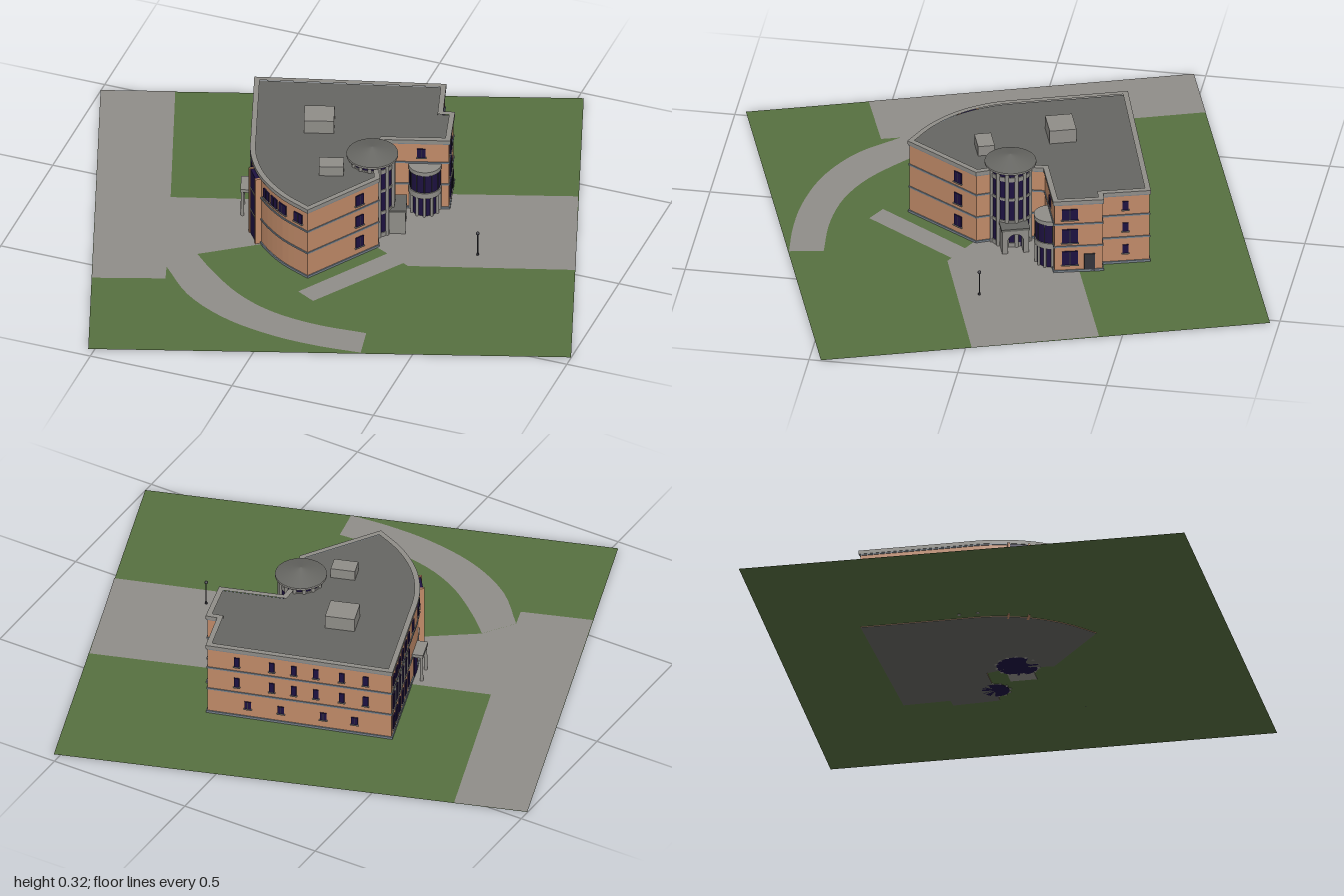
import * as THREE from 'three';

const mat = (name, color, side = THREE.FrontSide) => {
  const m = new THREE.MeshStandardMaterial({ color, side });
  m.name = name;
  return m;
};

export function createModel() {
  const model = new THREE.Group();
  model.name = 'officeBuilding';
  const brick = mat('brick', 0xc08a68);
  const roof = mat('roofGrey', 0x666662);
  const stone = mat('stone', 0x8f8d88);
  const trim = mat('blueGreyTrim', 0x75808a);
  const glass = mat('darkGlass', 0x1d1140);
  const grass = mat('grass', 0x577040, THREE.DoubleSide);
  const paving = mat('paving', 0x908d89);
  const metal = mat('darkMetal', 0x34343a);

  const add = (name, geo, m, parent = model) => {
    const mesh = new THREE.Mesh(geo, m);
    mesh.name = name;
    parent.add(mesh);
    return mesh;
  };
  const shapeOf = pts => new THREE.Shape(pts.map(([x, z]) => new THREE.Vector2(x, -z)));
  const flat = (name, pts, y, m) =>
    add(name, new THREE.ShapeGeometry(shapeOf(pts)).rotateX(-Math.PI / 2).translate(0, y, 0), m);
  const slab = (name, shape, y0, y1, m) => add(name,
    new THREE.ExtrudeGeometry(shape, { depth: y1 - y0, bevelEnabled: false, curveSegments: 20 })
      .rotateX(-Math.PI / 2).translate(0, y0, 0), m);
  const spline = pts => new THREE.CatmullRomCurve3(pts.map(([x, z]) => new THREE.Vector3(x, 0, z)));
  const sample = (pts, n) => spline(pts).getSpacedPoints(n).map(p => [p.x, p.z]);

  // Site: lawn, road, forecourt and paths
  flat('lawn', [[-1, -0.46], [0.52, -0.97], [1, 0.46], [-0.52, 0.966]], 0.002, grass);
  flat('westRoad', [[-1, -0.46], [-0.765, -0.539], [-0.567, 0.045], [-0.3, -0.04], [-0.15, 0.17],
    [-0.37, 0.325], [-0.44, 0.43], [-0.42, 0.495], [-0.65, 0.575]], 0.004, paving);
  flat('curvedPath', [
    ...sample([[-0.37, 0.325], [-0.29, 0.4], [-0.155, 0.5], [-0.02, 0.555], [0.14, 0.575], [0.315, 0.565]], 20),
    ...sample([[0.337, 0.678], [0.19, 0.69], [0.03, 0.685], [-0.155, 0.645], [-0.315, 0.56], [-0.44, 0.43]], 20),
  ], 0.0045, paving);
  flat('eastForecourt', [[0.7, -0.425], [0.84, -0.02], [0.31, 0.15], [0.15, 0.07], [0.1, -0.1], [0.28, -0.285]], 0.004, paving);
  flat('straightPath', [[0.225, 0.1], [0.29, 0.14], [0.085, 0.45], [0.02, 0.415]], 0.0045, paving);

  // Building outline, clockwise from above; one wall is curved
  const A = [-0.405, -0.333], B = [0.198, -0.51], C = [0.243, -0.357], D = [0.281, -0.367],
    E = [0.322, -0.212], F = [0.115, -0.145], F2 = [0.12, -0.05], G = [0.178, 0.075], H = [0.02, 0.326],
    I = [-0.312, -0.05];
  const bow = [H, [-0.09, 0.275], [-0.19, 0.195], [-0.262, 0.09], I];
  const outline = [A, B, C, D, E, F, F2, G, ...sample(bow, 18)];

  // Mitred offset of the outline, positive outwards
  const offset = d => outline.map((p, i) => {
    const n = outline.length, a = outline[(i + n - 1) % n], b = outline[(i + 1) % n];
    const nrm = (u, v) => new THREE.Vector2(v[1] - u[1], u[0] - v[0]).normalize();
    const n1 = nrm(a, p), n2 = nrm(p, b), k = d / (1 + n1.dot(n2));
    return [p[0] + (n1.x + n2.x) * k, p[1] + (n1.y + n2.y) * k];
  });
  slab('mainBody', shapeOf(outline), 0, 0.267, [roof, brick]);
  for (const [y0, y1, d] of [[0.003, 0.011, 0.004], [0.098, 0.104, 0.003], [0.184, 0.19, 0.003], [0.262, 0.266, 0.003]])
    slab('wallBand', shapeOf(offset(d)), y0, y1, trim);
  const parapet = shapeOf(offset(0.005));
  parapet.holes.push(new THREE.Path(offset(-0.013).map(([x, z]) => new THREE.Vector2(x, -z))));
  slab('parapet', parapet, 0.266, 0.279, stone);

  // Groups standing on a wall: local +z points outwards
  const line = (p, q) => new THREE.LineCurve3(new THREE.Vector3(p[0], 0, p[1]), new THREE.Vector3(q[0], 0, q[1]));
  const onWall = (curve, t, y, name) => {
    const g = new THREE.Group(), p = curve.getPointAt(t), d = curve.getTangentAt(t);
    g.position.set(p.x, y, p.z);
    g.rotation.y = Math.atan2(d.z, -d.x);
    g.name = name;
    model.add(g);
    return g;
  };
  const box = (g, name, w, h, d, x, y, z, m) =>
    add(name, new THREE.BoxGeometry(w, h, d).translate(x, y, z), m, g);
  const windowAt = (curve, t, y, w, h) => {
    const g = onWall(curve, t, y, 'window');
    box(g, 'pane', w, h, 0.008, 0, 0, 0, glass);
    box(g, 'sill', w + 0.006, 0.003, 0.014, 0, -h / 2 - 0.0015, 0, stone);
    if (w > 0.02) box(g, 'mullion', 0.002, h, 0.01, 0, 0, 0, metal);
    return g;
  };
  const back = line(A, B), eastRear = line(B, C), east = line(D, E), south = line(E, F),
    southEast = line(G, H), west = line(I, A), curved = spline(bow);

  for (const t of [0.14, 0.27, 0.41, 0.53, 0.65, 0.84])
    for (const y of [0.225, 0.142]) windowAt(back, t, y, 0.018, 0.036);
  for (const t of [0.2, 0.37, 0.6, 0.78]) windowAt(back, t, 0.055, 0.022, 0.028);
  for (const y of [0.225, 0.142, 0.057]) {
    windowAt(eastRear, 0.5, y, 0.02, 0.032);
    windowAt(east, 0.68, y, 0.052, y < 0.2 ? 0.052 : 0.04);
  }
  box(onWall(east, 0.27, 0.037, 'sideDoor'), 'doorLeaf', 0.036, 0.066, 0.008, 0, 0, 0, metal);
  windowAt(south, 0.42, 0.225, 0.028, 0.034);
  for (const y of [0.225, 0.142, 0.057]) windowAt(southEast, 0.27, y, 0.032, 0.04);

  // Curved wall: upper windows and the tall glazed strip
  for (const t of [0.08, 0.22, 0.31, 0.4]) windowAt(curved, t, 0.225, 0.036, 0.036);
  const strip = onWall(curved, 0.555, 0, 'tallGlazing');
  box(strip, 'glazing', 0.06, 0.255, 0.03, 0, 0.132, 0, glass);
  for (const x of [-0.034, 0.034]) box(strip, 'glazingJamb', 0.008, 0.262, 0.038, x, 0.131, 0, brick);
  for (const y of [0.1, 0.187]) box(strip, 'glazingRail', 0.06, 0.006, 0.034, 0, y, 0, stone);
  for (const t of [0.67, 0.75, 0.92]) windowAt(curved, t, 0.225, 0.026, 0.036);

  // West entrance porch
  const porch = onWall(curved, 0.86, 0, 'westPorch');
  box(porch, 'porchRoof', 0.08, 0.012, 0.045, 0, 0.105, 0.014, stone);
  box(porch, 'porchDoor', 0.045, 0.09, 0.008, 0, 0.047, 0, glass);
  for (const x of [-0.032, 0.032])
    add('porchColumn', new THREE.CylinderGeometry(0.005, 0.006, 0.1, 12).translate(x, 0.05, 0.03), stone, porch);

  // West wall: window bays between pilasters
  for (let i = 0; i < 6; i++) {
    const t = 0.1 + i * 0.16;
    windowAt(west, t, 0.225, 0.026, 0.036);
    windowAt(west, t, 0.142, 0.026, 0.058);
    windowAt(west, t, 0.055, 0.026, 0.05);
    if (i < 5) box(onWall(west, t + 0.08, 0.142, 'pilaster'), 'pilasterShaft', 0.008, 0.08, 0.01, 0, 0, 0, stone);
  }

  // Round corner tower with a shallow conical roof
  const tower = new THREE.Group();
  tower.name = 'cornerTower';
  tower.position.set(0.118, 0, -0.03);
  model.add(tower);
  const drum = (parent, name, r, y0, y1, m, seg = 40) =>
    add(name, new THREE.CylinderGeometry(r, r, y1 - y0, seg).translate(0, (y0 + y1) / 2, 0), m, parent);
  drum(tower, 'towerGlass', 0.07, 0, 0.292, glass);
  for (const [y0, y1] of [[0.001, 0.02], [0.094, 0.106], [0.182, 0.192], [0.256, 0.272]])
    drum(tower, 'towerBand', 0.073, y0, y1, stone);
  for (let i = 0; i < 14; i++) {
    const a = i / 14 * Math.PI * 2;
    add('towerColumn', new THREE.CylinderGeometry(0.0065, 0.0065, 0.29, 10)
      .translate(0.071 * Math.cos(a), 0.145, 0.071 * Math.sin(a)), stone, tower);
  }
  drum(tower, 'towerEave', 0.086, 0.29, 0.297, stone);
  add('towerRoof', new THREE.ConeGeometry(0.085, 0.026, 40).translate(0, 0.31, 0), roof, tower);

  // Arched entrance porch beside the tower
  const entry = new THREE.Group();
  entry.name = 'archedEntrance';
  entry.position.set(0.195, 0, -0.056);
  entry.rotation.y = Math.PI / 2 + 0.32;
  model.add(entry);
  const front = new THREE.Shape([[-0.045, 0], [0.045, 0], [0.045, 0.092], [-0.045, 0.092]]
    .map(p => new THREE.Vector2(...p)));
  const arch = new THREE.Path();
  arch.moveTo(-0.026, 0.001);
  arch.lineTo(-0.026, 0.05);
  arch.absarc(0, 0.05, 0.026, Math.PI, 0, true);
  arch.lineTo(0.026, 0.001);
  front.holes.push(arch);
  add('entranceArch', new THREE.ExtrudeGeometry(front, { depth: 0.055, bevelEnabled: false }).translate(0, 0, -0.025), stone, entry);
  box(entry, 'entranceDoor', 0.06, 0.08, 0.006, 0, 0.041, -0.015, glass);
  box(entry, 'entranceCornice', 0.096, 0.008, 0.062, 0, 0.094, 0.002, roof);

  // Round bay on the east wing
  const bay = new THREE.Group();
  bay.name = 'roundBay';
  bay.position.set(0.247, 0, -0.186);
  model.add(bay);
  drum(bay, 'bayBase', 0.046, 0, 0.08, glass);
  drum(bay, 'bayGlass', 0.051, 0.098, 0.17, glass);
  drum(bay, 'bayFloor', 0.055, 0.078, 0.099, stone);
  drum(bay, 'bayRoof', 0.055, 0.169, 0.184, stone);
  for (let i = 0; i < 7; i++) {
    const a = -0.3 + i / 6 * Math.PI;
    const c = Math.cos(a), s = Math.sin(a);
    add('bayColumn', new THREE.CylinderGeometry(0.005, 0.005, 0.08, 10).translate(0.049 * c, 0.04, 0.049 * s), stone, bay);
    add('bayMullion', new THREE.CylinderGeometry(0.002, 0.002, 0.072, 6).translate(0.051 * c, 0.134, 0.051 * s), metal, bay);
  }

  // Rooftop plant boxes
  for (const [x, z, w, d, top] of [[-0.117, -0.16, 0.1, 0.09, 0.316], [0.012, 0.075, 0.082, 0.056, 0.303]]) {
    const b = add('rooftopUnit', new THREE.BoxGeometry(w, top - 0.262, d), stone);
    b.position.set(x, (top + 0.262) / 2, z);
    b.rotation.y = 0.32;
  }

  // Lamp post on the forecourt
  const lamp = new THREE.Group();
  lamp.name = 'lampPost';
  lamp.position.set(0.505, 0, 0.01);
  model.add(lamp);
  drum(lamp, 'lampPole', 0.002, 0.002, 0.09, metal, 8);
  drum(lamp, 'lampFoot', 0.004, 0.002, 0.01, metal, 8);
  add('lampHead', new THREE.SphereGeometry(0.006, 12, 8).translate(0, 0.091, 0), metal, lamp);

  return model;
}
